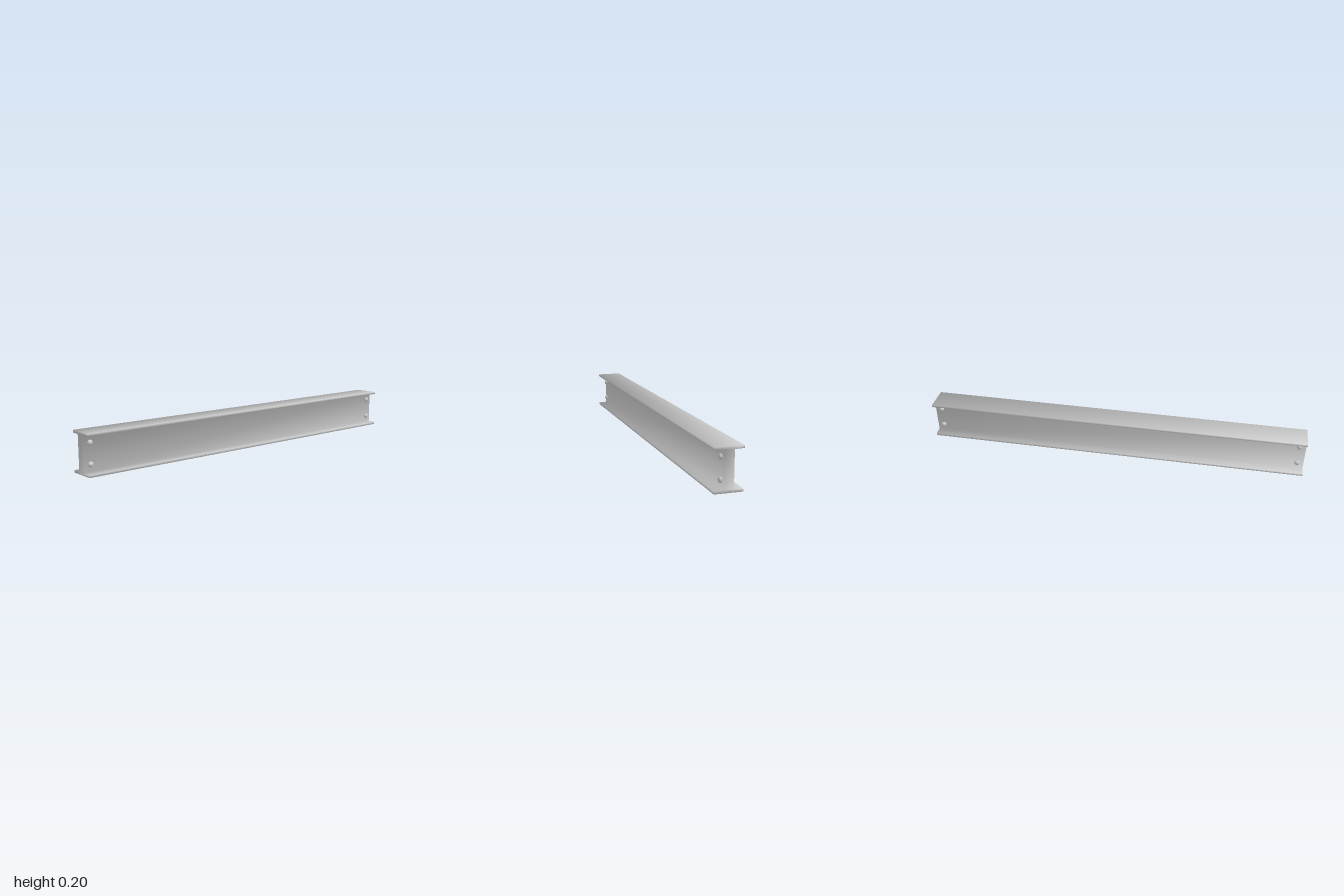
import * as THREE from 'three';
import { mergeVertices } from 'three/addons/utils/BufferGeometryUtils.js';

// Weld corners and average their face normals by angle, for soft shading
function soften(geometry) {
  geometry.deleteAttribute('uv');
  geometry.deleteAttribute('normal');
  const g = mergeVertices(geometry, 1e-5);
  const pos = g.attributes.position;
  const sums = Array.from({ length: pos.count }, () => new THREE.Vector3());
  const index = g.index.array;
  for (let i = 0; i < index.length; i += 3) {
    const ids = [index[i], index[i + 1], index[i + 2]];
    const p = ids.map((id) => new THREE.Vector3().fromBufferAttribute(pos, id));
    const n = new THREE.Triangle(...p).getNormal(new THREE.Vector3());
    ids.forEach((id, k) => {
      const a = p[(k + 1) % 3].clone().sub(p[k]);
      const b = p[(k + 2) % 3].clone().sub(p[k]);
      sums[id].addScaledVector(n, a.angleTo(b));
    });
  }
  const normals = sums.flatMap((s) => s.normalize().toArray());
  g.setAttribute('normal', new THREE.Float32BufferAttribute(normals, 3));
  return g;
}

export function createModel() {
  const model = new THREE.Group();
  model.name = 'girder';
  const material = new THREE.MeshStandardMaterial({ color: 0xcccccc });

  // I-shaped section with tapered flanges, extruded along x
  const flange = 0.067, web = 0.023, height = 0.2;
  const tip = 0.012, root = 0.014;
  const quarter = [[flange, 0], [flange, tip], [web, root]];
  const right = [...quarter, ...quarter.map(([z, y]) => [z, height - y]).reverse()];
  const outline = [...right, ...right.map(([z, y]) => [-z, y]).reverse()];
  const section = new THREE.Shape(outline.map(([z, y]) => new THREE.Vector2(z, y)));
  const beamGeometry = new THREE.ExtrudeGeometry(section, { depth: 2, bevelEnabled: false });
  beamGeometry.translate(0, 0, -1).rotateY(Math.PI / 2);
  const beam = new THREE.Mesh(soften(beamGeometry), material);
  beam.name = 'beam';
  model.add(beam);

  // Rivets near both ends, on both faces of the web
  const profile = [[0.0135, -0.001], [0.0135, 0.004], [0.0085, 0.011], [0, 0.0115]];
  const rivetGeometry = new THREE.LatheGeometry(
    profile.map(([r, y]) => new THREE.Vector2(r, y)), 10);
  rivetGeometry.rotateX(Math.PI / 2);
  for (const side of [1, -1])
    for (const x of [-0.967, 0.967])
      for (const y of [0.05, 0.151]) {
        const rivet = new THREE.Mesh(rivetGeometry, material);
        rivet.name = 'rivet';
        rivet.position.set(x, y, side * web);
        if (side < 0) rivet.rotation.y = Math.PI;
        model.add(rivet);
      }
  return model;
}
